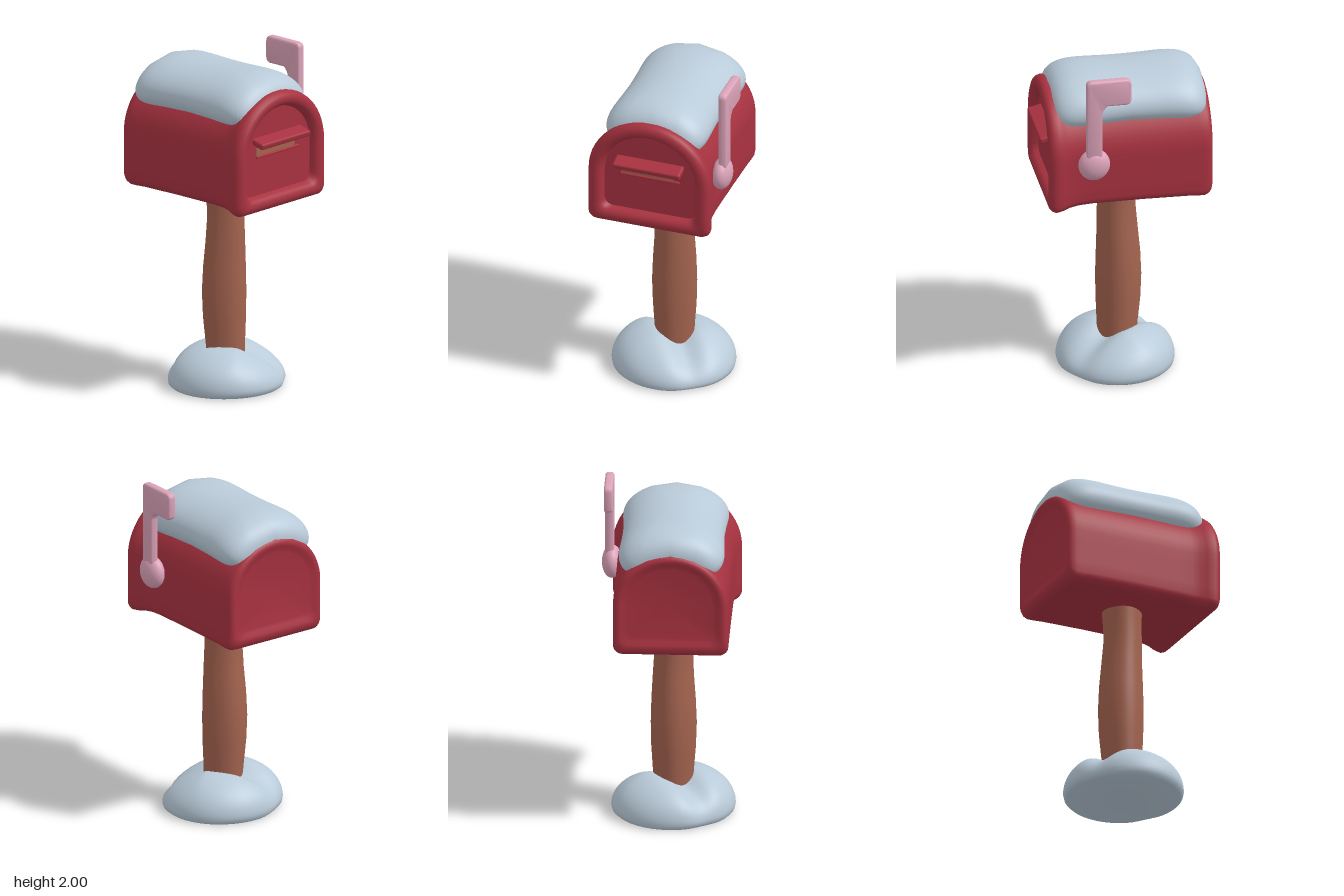
import * as THREE from 'three';
import { toCreasedNormals } from 'three/addons/utils/BufferGeometryUtils.js';
import { RoundedBoxGeometry } from 'three/addons/geometries/RoundedBoxGeometry.js';

const mat = (name, color) => {
  const m = new THREE.MeshStandardMaterial({ color });
  m.name = name;
  return m;
};

// Skins a list of closed rings and caps both ends
function loft(rings, crease) {
  const n = rings[0].length, pos = [], idx = [];
  rings.forEach(r => r.forEach(p => pos.push(...p)));
  for (let i = 0; i < rings.length - 1; i++) {
    for (let j = 0; j < n; j++) {
      const a = i * n + j, b = i * n + (j + 1) % n;
      idx.push(a, b, b + n, a, b + n, a + n);
    }
  }
  const cap = (row, flip) => {
    const c = pos.length / 3;
    pos.push(...[0, 1, 2].map(k => rings[row].reduce((s, p) => s + p[k], 0) / n));
    for (let j = 0; j < n; j++) {
      const a = row * n + j, b = row * n + (j + 1) % n;
      idx.push(c, flip ? b : a, flip ? a : b);
    }
  };
  cap(0, true);
  cap(rings.length - 1, false);
  const g = new THREE.BufferGeometry();
  g.setAttribute('position', new THREE.Float32BufferAttribute(pos, 3));
  g.setIndex(idx);
  return toCreasedNormals(g, crease);
}

// Arched outline, shrunk by inset d (and by its own inset at the bottom)
function archRing(z, d, dBottom = d) {
  const w = 0.371 - d, bottom = 1.145 + dBottom, top = 1.83 - d;
  const spring = top - w * 0.96, r = 0.05, half = [];
  for (let i = 0; i < 4; i++) half.push([(w - r) * i / 4, bottom]);
  for (let i = 0; i <= 5; i++) {
    const a = i / 5 * Math.PI / 2;
    half.push([w - r + r * Math.sin(a), bottom + r - r * Math.cos(a)]);
  }
  for (let i = 1; i < 4; i++) half.push([w, bottom + r + (spring - bottom - r) * i / 4]);
  for (let i = 0; i <= 14; i++) {
    const a = i / 14 * Math.PI / 2;
    half.push([w * Math.cos(a), spring + (top - spring) * Math.sin(a)]);
  }
  const mirrored = half.slice(1, -1).reverse().map(([x, y]) => [-x, y]);
  return [...half, ...mirrored].map(([x, y]) => [x, y, z]);
}

// Ring around the y axis, f(cos, sin) gives each point
function ring(n, f) {
  return Array.from({ length: n }, (_, j) => {
    const a = j / n * Math.PI * 2;
    return f(Math.cos(a), -Math.sin(a));
  });
}
const squarish = (v, n) => Math.sign(v) * Math.abs(v) ** (2 / n);

// Closed shape with corners rounded by radius r
function roundedShape(points, r) {
  const shape = new THREE.Shape();
  const pts = points.map(p => new THREE.Vector2(...p));
  pts.forEach((p, i) => {
    const toward = q => q.clone().sub(p).setLength(r).add(p);
    const a = toward(pts.at(i - 1)), b = toward(pts[(i + 1) % pts.length]);
    if (i) shape.lineTo(a.x, a.y);
    else shape.moveTo(a.x, a.y);
    shape.quadraticCurveTo(p.x, p.y, b.x, b.y);
  });
  shape.closePath();
  return shape;
}

export function createModel() {
  const model = new THREE.Group();
  const red = mat('red paint', 0xa83240);
  const snow = mat('snow', 0xb9cad8);
  const wood = mat('brown wood', 0xa3634f);
  const pink = mat('pink flag', 0xdba3b8);

  const add = (parent, name, geometry, material, x = 0, y = 0, z = 0) => {
    const m = new THREE.Mesh(geometry, material);
    m.name = name;
    m.position.set(x, y, z);
    parent.add(m);
    return m;
  };

  // Snow mound: a dome with a valley along x, sloping off towards +x
  const mound = [];
  const moundRing = (r, y) => ring(64, (c, s) => {
    const z = 0.355 * r * s;
    const dip = Math.exp(-(((z + 0.01) / 0.085) ** 2));
    const x = 0.342 * r * c * (1 - 0.04 * dip) - 0.04 * z + 0.014;
    return [x, y * (1 - 0.25 * dip) * (1 - Math.max(0, x - 0.08)), z - 0.003];
  });
  mound.push(moundRing(0.94, 0), moundRing(0.985, 0.015));
  for (let i = 0; i < 20; i++) {
    const a = i / 20 * Math.PI / 2;
    mound.push(moundRing(Math.cos(a) ** 0.9, 0.04 + 0.222 * Math.sin(a)));
  }
  add(model, 'snowMound', loft(mound, 1.0), snow);

  // Post: slightly bulging and crooked, [y, radius, x, z]
  const postCurve = [
    [0.1, 0.105, 0.01, -0.01], [0.25, 0.113, 0.005, -0.01], [0.4, 0.123, 0, -0.012],
    [0.55, 0.127, -0.002, -0.012], [0.7, 0.122, 0, -0.012], [0.85, 0.113, 0.005, -0.01],
    [1.0, 0.106, 0.008, -0.005], [1.12, 0.108, 0.005, -0.008], [1.22, 0.115, 0.005, -0.01],
  ];
  add(model, 'post', loft(postCurve.map(([y, r, x, z]) =>
    ring(40, (c, s) => [x + r * squarish(c, 2.3), y, z + r * squarish(s, 2.3)])), 0.9), wood);

  // Everything on the box is turned together
  const box = new THREE.Group();
  box.name = 'mailbox';
  box.rotation.y = 0.927;
  box.position.set(0.004, 0, -0.005);
  model.add(box);

  // Body: sunk back panel, barrel, swollen front rim, sunk door; [z, inset, bottom inset]
  const stations = [
    [-0.488, 0.13], [-0.493, 0.105], [-0.503, 0.085], [-0.505, 0.068], [-0.497, 0.053, 0.04],
    [-0.48, 0.044, 0.022], [-0.455, 0.04, 0.014], [-0.42, 0.04, 0.014], [-0.36, 0.04, 0.018],
    [-0.1, 0.04, 0.022], [0.2, 0.039, 0.022], [0.28, 0.036, 0.018], [0.33, 0.027, 0.012],
    [0.365, 0.012, 0.005], [0.39, 0.003], [0.415, 0],
    [0.435, 0.006], [0.45, 0.02], [0.457, 0.04], [0.455, 0.06], [0.446, 0.076],
    [0.43, 0.087], [0.405, 0.094],
  ];
  add(box, 'body', loft(stations.map(s => archRing(...s)), 0.8), red);

  // Letter slot with a tilted hood
  add(box, 'letterSlot', new THREE.BoxGeometry(0.32, 0.045, 0.008), wood, -0.015, 1.497, 0.406);
  const hood = add(box, 'slotHood', new RoundedBoxGeometry(0.41, 0.038, 0.095, 3, 0.012), red, 0, 1.556, 0.437);
  hood.rotation.x = 0.25;
  add(box, 'slotSill', new RoundedBoxGeometry(0.36, 0.014, 0.02, 2, 0.005), red, 0, 1.467, 0.408);

  // Roof snow: a pillow wrapped round the arch, from its edge to the crown
  const pillow = [];
  for (let i = 0; i < 28; i++) {
    const r = Math.cos(i / 28 * Math.PI / 2);
    pillow.push(ring(96, (c, s) => {
      const u = r * squarish(c, 6), v = r * squarish(s, 6);
      const a = u * (0.95 + 0.13 * v * v);
      const sag = 0.012 * Math.cos(v * Math.PI / 1.4);
      const R = 0.305 + (0.139 - sag) * Math.sqrt(1 - r ** 5);
      return [R * Math.sin(a), 1.48 + R * Math.cos(a), -0.04 + 0.452 * v];
    }));
  }
  add(box, 'roofSnow', loft(pillow, 1.2), snow);

  // Flag: L-shaped arm on a rounded hub
  const arm = roundedShape([
    [0.167, 1.42], [0.233, 1.42], [0.233, 1.986], [0.0, 1.986], [0.0, 1.852], [0.135, 1.852], [0.167, 1.81],
  ], 0.018);
  const armGeo = new THREE.ExtrudeGeometry(arm, {
    depth: 0.022, bevelEnabled: true, bevelThickness: 0.014, bevelSize: 0.014, bevelSegments: 4, curveSegments: 6,
  });
  armGeo.rotateY(-Math.PI / 2);
  add(box, 'flagArm', toCreasedNormals(armGeo, 0.6), pink, 0.39, 0, 0);
  const hub = add(box, 'flagHub', new THREE.SphereGeometry(1, 28, 20), pink, 0.366, 1.455, 0.198);
  hub.scale.set(0.058, 0.097, 0.092);

  return model;
}
